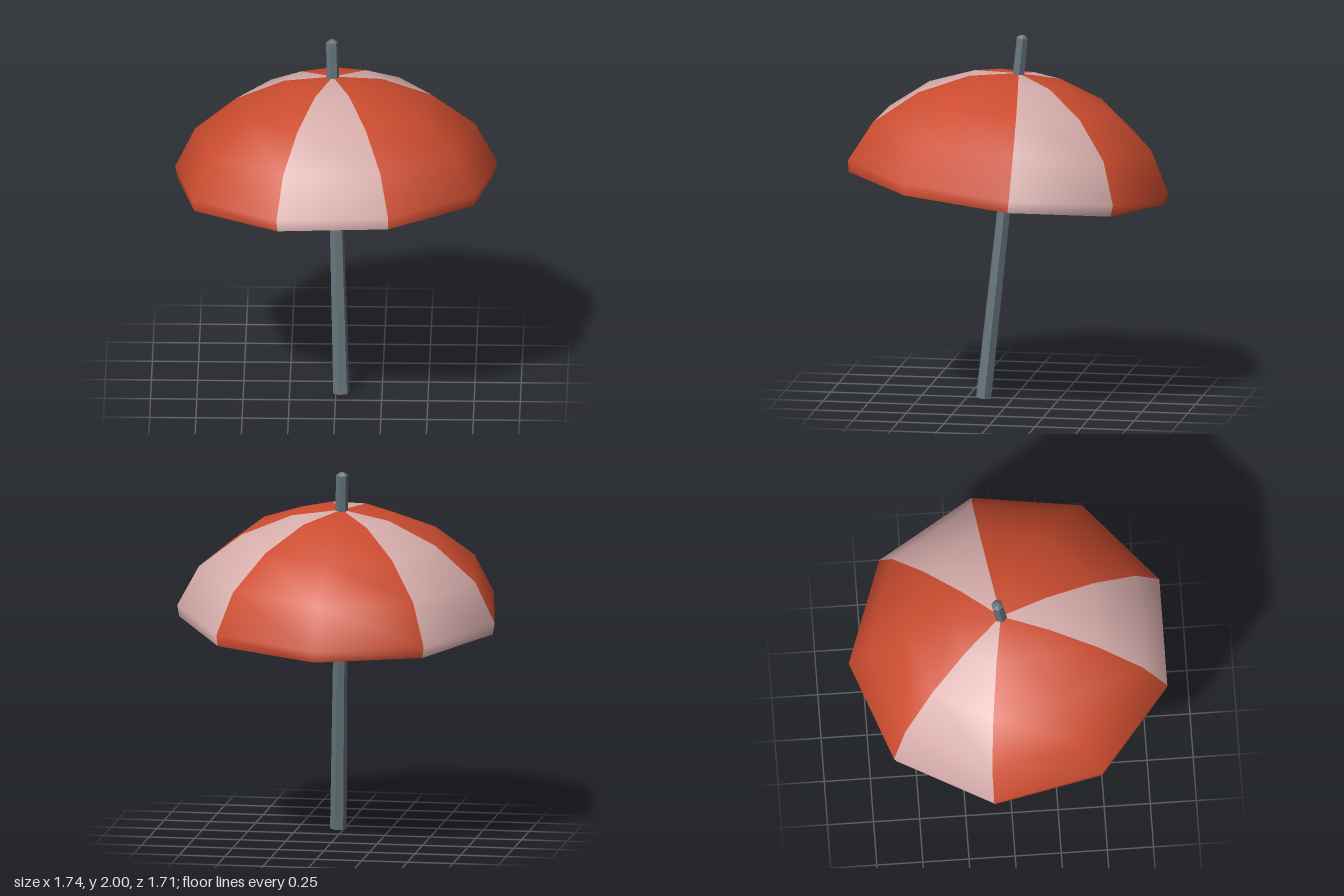
import * as THREE from 'three';

const SIDES = 9;

function material(name, color, side = THREE.FrontSide) {
  const m = new THREE.MeshStandardMaterial({ color, side });
  m.name = name;
  return m;
}

export function createModel() {
  const red = material('orange red cloth', 0xcc4c2f, THREE.DoubleSide);
  const pale = material('pale pink cloth', 0xd6adab, THREE.DoubleSide);
  const steel = material('grey pole', 0x66737c);
  steel.flatShading = true;

  // Everything sits on one leaning axis that starts at the foot of the pole
  const parasol = new THREE.Group();
  parasol.name = 'parasol';
  const foot = new THREE.Vector3(0.03, 0.005, 0.157);
  const tip = new THREE.Vector3(-0.025, 2, -0.048);
  const axis = tip.clone().sub(foot);
  const length = axis.length();
  parasol.position.copy(foot);
  parasol.quaternion.setFromUnitVectors(new THREE.Vector3(0, 1, 0), axis.normalize());

  // Canopy: nine-sided open dome, every third panel pale
  const rimHeight = 1.182;
  const profile = [
    [0.873, 0.007], [0.884, 0.07], [0.769, 0.29], [0.539, 0.47], [0.27, 0.581], [0, 0.615],
  ].map(([r, h]) => new THREE.Vector2(r, rimHeight + h));
  const dome = new THREE.LatheGeometry(profile, SIDES, Math.PI);
  const perPanel = (profile.length - 1) * 6;
  for (let i = 0; i < SIDES; i++) {
    dome.addGroup(i * perPanel, perPanel, i % 3 === 1 ? 1 : 0);
    }
  // Smooth the crown
  for (let i = 0; i <= SIDES; i++) {
    dome.attributes.normal.setXYZ((i + 1) * profile.length - 1, 0, 1, 0);
  }
  const canopy = new THREE.Mesh(dome, [red, pale]);
  canopy.name = 'canopy';
  parasol.add(canopy);

  // Pole: slightly tapered hexagonal rod with a bevelled cap
  const capHeight = 0.015;
  const rodLength = length - capHeight;
  const rod = new THREE.Mesh(
    new THREE.CylinderGeometry(0.033, 0.045, rodLength, 6, 1, false, Math.PI / 4), steel);
  rod.name = 'pole';
  rod.position.y = rodLength / 2;
  const cap = new THREE.Mesh(
    new THREE.CylinderGeometry(0.014, 0.033, capHeight, 6, 1, false, Math.PI / 4), steel);
  cap.name = 'poleCap';
  cap.position.y = rodLength + capHeight / 2;
  parasol.add(rod, cap);

  const model = new THREE.Group();
  model.name = 'beachParasol';
  model.add(parasol);
  return model;
}
